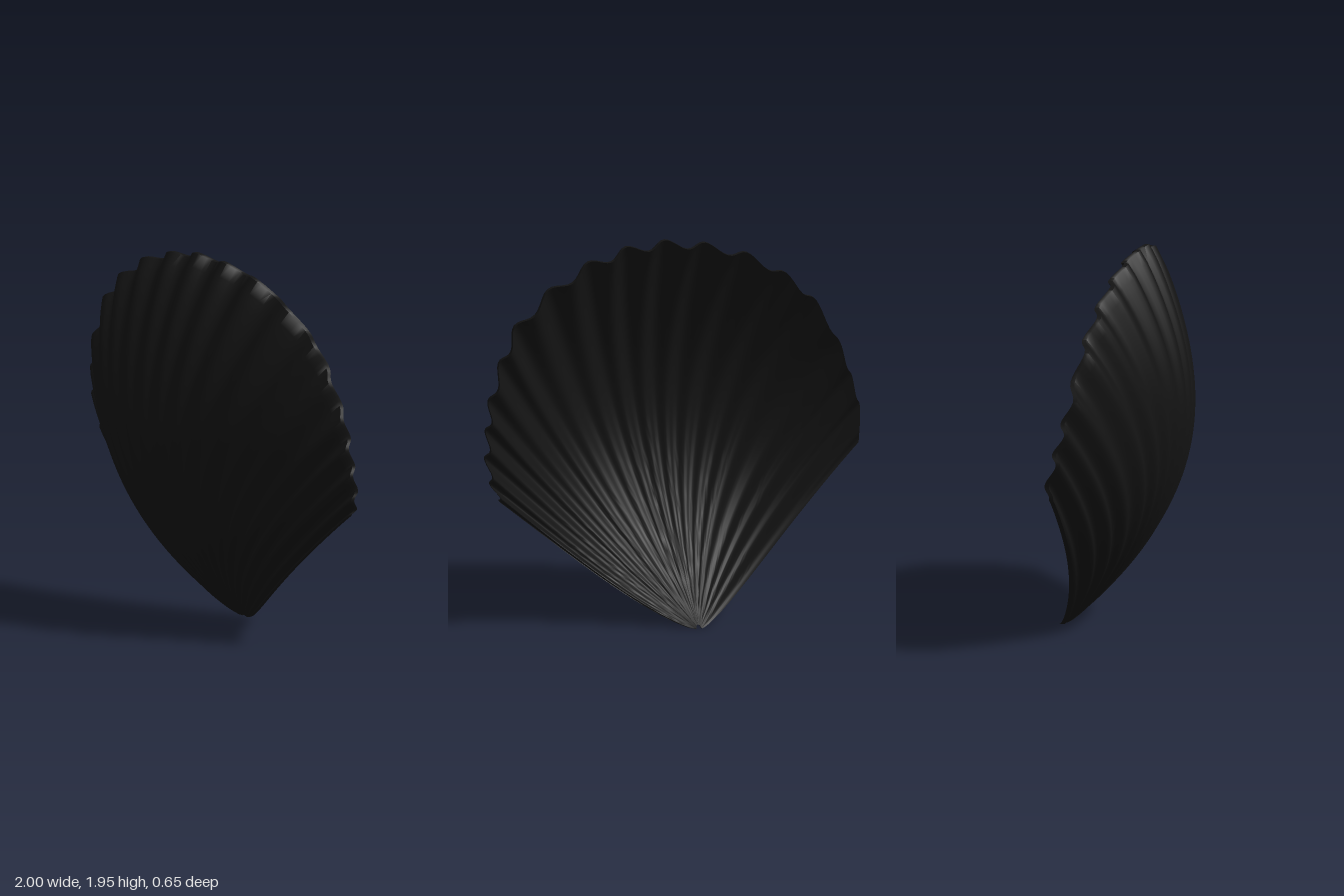
import * as THREE from 'three';
import { toCreasedNormals } from 'three/addons/utils/BufferGeometryUtils.js';

const HINGE = new THREE.Vector3(-0.07, 0, -0.31);
const THICKNESS = 0.022;

// Rib crests where they meet the rim, from the right-hand edge round to the left
const CRESTS = [
  [-0.98, 0.85, -0.13], [-1.0, 1.03, -0.09], [-0.97, 1.18, -0.055], [-0.92, 1.35, -0.02],
  [-0.8, 1.58, 0.01], [-0.65, 1.73, 0.035], [-0.45, 1.85, 0.055], [-0.23, 1.92, 0.07],
  [-0.02, 1.95, 0.08], [0.19, 1.935, 0.075], [0.4, 1.88, 0.055], [0.62, 1.76, 0.035],
  [0.81, 1.59, 0.01], [0.9, 1.41, -0.01], [0.965, 1.22, -0.035], [0.985, 1.07, -0.05],
  [0.995, 0.93, -0.07], [0.975, 0.8, -0.095], [0.93, 0.71, -0.115],
];
const RIBS = CRESTS.length - 1;
const rim = new THREE.CatmullRomCurve3(CRESTS.map((p) => new THREE.Vector3(...p)));

// Point on the shell: u runs along the rim, t from the hinge to the rim
function shellPoint(u, t, inner) {
  const ray = rim.getPoint(u).sub(HINGE);
  const angle = Math.atan2(ray.x, ray.y);
  const s = THREE.MathUtils.clamp(angle / (angle > 0 ? 0.955 : 0.82), -1, 1);
  const groove = (1 - Math.cos(u * RIBS * Math.PI * 2)) / 2;

  // scalloped rim
  const p = ray.clone().multiplyScalar(t * (1 - 0.018 * groove * t ** 5));

  // outward bow of the two straight sides
  const bow = 0.06 * s * Math.abs(s) ** 3 * Math.sin(Math.PI * t ** 0.58);
  const flat = Math.hypot(ray.x, ray.y);
  p.x += (bow * ray.y) / flat;
  p.y -= (bow * ray.x) / flat;

  // domed belly, fullest below the middle, with ribs that deepen towards the rim
  const dome = 0.1 + 0.015 * s + 0.335 * (1 - Math.abs(s) ** 2.5);
  p.z += dome * Math.sin(Math.PI * Math.min(t, 0.99999) ** 0.9) ** 0.9;
  p.z -= 0.04 * groove * t ** 0.85;
  if (inner) p.z -= THICKNESS;
  p.add(HINGE);
  p.y = Math.max(0, p.y);
  return p;
}

// Outer and inner skins joined along the rim, the sides and the hinge
function shellGeometry(across, along) {
  const positions = [];
  const indices = [];
  for (const inner of [false, true]) {
    for (let i = 0; i <= across; i++) {
      for (let j = 0; j <= along; j++) {
        const t = 0.008 + 0.992 * (j / along) ** 1.2;
        positions.push(...shellPoint(i / across, t, inner).toArray());
      }
    }
  }
  const row = along + 1;
  const skin = (across + 1) * row;
  const at = (i, j, k) => k * skin + i * row + j;
  const quad = (a, b, c, d) => indices.push(a, b, c, a, c, d);

  for (let i = 0; i < across; i++) {
    for (let j = 0; j < along; j++) {
      quad(at(i, j, 0), at(i + 1, j, 0), at(i + 1, j + 1, 0), at(i, j + 1, 0));
      quad(at(i, j, 1), at(i, j + 1, 1), at(i + 1, j + 1, 1), at(i + 1, j, 1));
    }
    quad(at(i, along, 0), at(i + 1, along, 0), at(i + 1, along, 1), at(i, along, 1));
    quad(at(i, 0, 0), at(i, 0, 1), at(i + 1, 0, 1), at(i + 1, 0, 0));
  }
  for (let j = 0; j < along; j++) {
    quad(at(0, j, 0), at(0, j + 1, 0), at(0, j + 1, 1), at(0, j, 1));
    quad(at(across, j, 0), at(across, j, 1), at(across, j + 1, 1), at(across, j + 1, 0));
  }
  const geometry = new THREE.BufferGeometry();
  geometry.setAttribute('position', new THREE.Float32BufferAttribute(positions, 3));
  geometry.setIndex(indices);
  return toCreasedNormals(geometry, 0.9);
}

export function createModel() {
  const group = new THREE.Group();
  group.name = 'scallopShell';
  const material = new THREE.MeshStandardMaterial({ color: 0x131313 });
  const shell = new THREE.Mesh(shellGeometry(RIBS * 10, 36), material);
  shell.name = 'ribbedShell';
  group.add(shell);
  return group;
}
